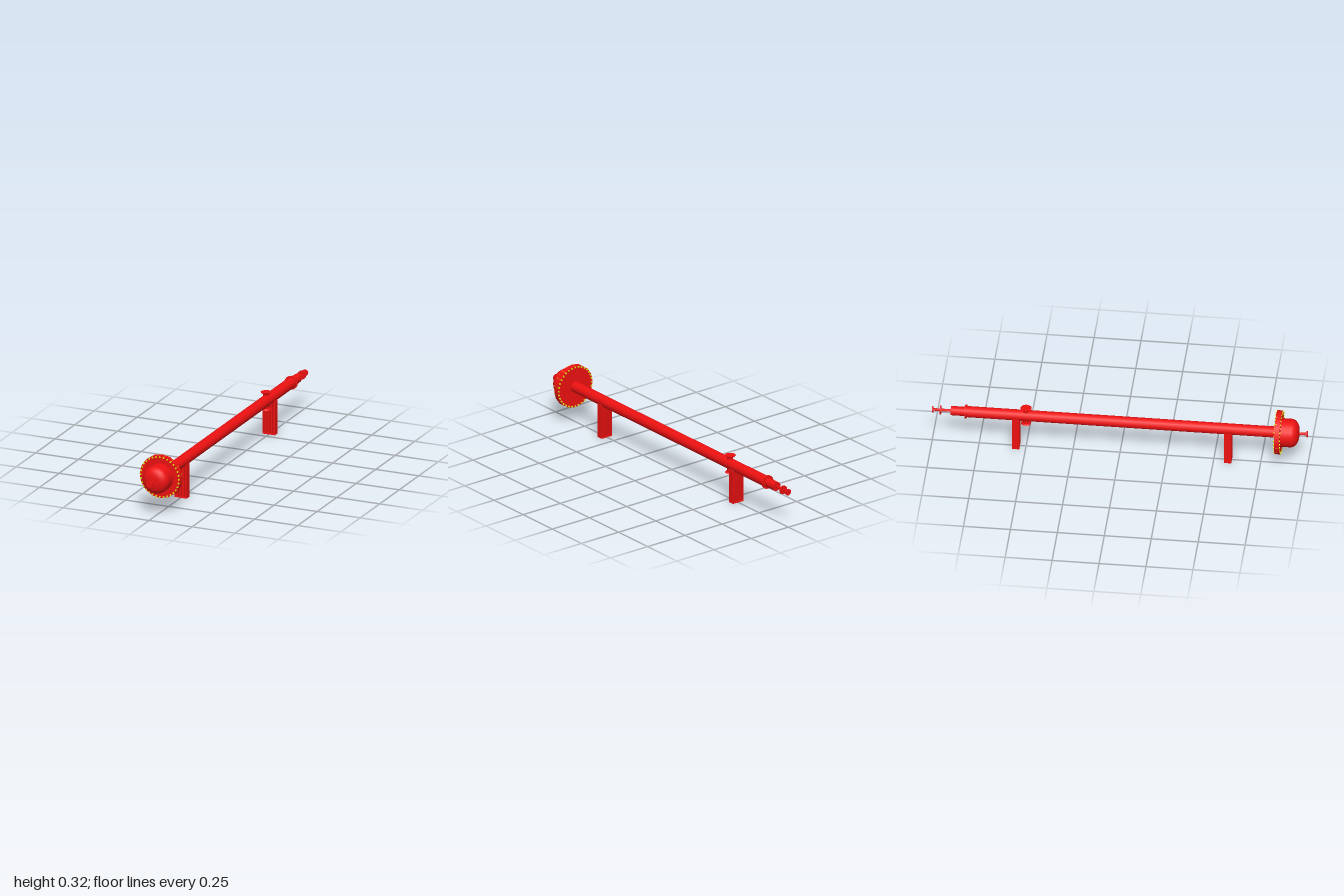
import * as THREE from 'three';

const AXIS_Y = 0.2;
const red = new THREE.MeshStandardMaterial({ color: 0xee1111, side: THREE.DoubleSide });
const yellow = new THREE.MeshStandardMaterial({ color: 0xe0e010 });

function add(parent, name, geometry, material = red) {
  const mesh = new THREE.Mesh(geometry, material);
  mesh.name = name;
  parent.add(mesh);
  return mesh;
}

// Cylinder lying along z, centred on the exchanger axis, from z0 up to z1
function rod(parent, name, z0, z1, radius, sides = 16) {
  const geo = new THREE.CylinderGeometry(radius, radius, z1 - z0, sides);
  geo.rotateX(Math.PI / 2);
  const mesh = add(parent, name, geo);
  mesh.position.set(0, AXIS_Y, (z0 + z1) / 2);
  return mesh;
}

// Upright branch nozzle with a flared neck and thin flange
function branch(name, direction, z, flangeRadius) {
  const group = new THREE.Group();
  group.name = name;
  const neck = add(group, 'neck', new THREE.CylinderGeometry(0.016, 0.016, 0.028, 16));
  neck.position.y = 0.034;
  const flange = add(group, 'flange', new THREE.CylinderGeometry(flangeRadius, flangeRadius * 0.8, 0.006, 16));
  flange.position.y = 0.046;
  group.position.set(0, AXIS_Y, z);
  if (direction < 0) group.rotation.x = Math.PI;
  return group;
}

// Saddle outline: a plate cut to cradle the pipe
function cradleWeb(thickness) {
  const s = new THREE.Shape();
  s.moveTo(-0.034, 0);
  s.lineTo(0.034, 0);
  s.lineTo(0.034, 0.19);
  s.lineTo(0.028, 0.19);
  s.absarc(0, AXIS_Y, 0.03, -0.34, -Math.PI + 0.34, true);
  s.lineTo(-0.034, 0.19);
  const geo = new THREE.ExtrudeGeometry(s, { depth: thickness, bevelEnabled: false, curveSegments: 10 });
  return geo.translate(0, 0, -thickness / 2);
}

function saddle(name, z) {
  const group = new THREE.Group();
  group.name = name;
  add(group, 'web', cradleWeb(0.006));
  add(group, 'basePlate', new THREE.BoxGeometry(0.068, 0.004, 0.038)).position.y = 0.002;
  // Ribs reach up to the underside of the pipe
  for (let i = -2; i <= 2; i++) {
    const x = i * 0.0165;
    const top = Math.abs(i) === 2 ? 0.19 : AXIS_Y - Math.sqrt(0.03 ** 2 - x * x) + 0.002;
    add(group, 'rib', new THREE.BoxGeometry(0.004, top, 0.038)).position.set(x, top / 2, 0);
  }
  group.position.z = z;
  return group;
}

export function createModel() {
  const model = new THREE.Group();
  model.name = 'heatExchanger';

  // Main shell and its stepped rear end
  rod(model, 'shell', -0.82, 0.84, 0.03);
  rod(model, 'rearShellFlange', -0.825, -0.815, 0.037);
  rod(model, 'rearSleeve', -0.9, -0.82, 0.025);
  rod(model, 'rearNeck', -1, -0.9, 0.007, 12);
  rod(model, 'rearCollar', -0.959, -0.952, 0.024);
  rod(model, 'rearNozzleFlange', -1, -0.994, 0.018);

  // Large bolted flange at the front
  rod(model, 'headFlange', 0.832, 0.86, 0.118);
  const bolts = new THREE.Group();
  bolts.name = 'flangeBolts';
  const boltGeo = new THREE.CylinderGeometry(0.005, 0.005, 0.036, 8).rotateX(Math.PI / 2);
  for (let i = 0; i < 32; i++) {
    const a = (i / 32) * Math.PI * 2;
    add(bolts, 'bolt', boltGeo, yellow).position.set(Math.cos(a) * 0.111, Math.sin(a) * 0.111, 0);
  }
  bolts.position.set(0, AXIS_Y, 0.846);
  model.add(bolts);

  // Head: straight skirt closing in a rounded dome
  rod(model, 'headSkirt', 0.855, 0.91, 0.076, 20);
  const domeProfile = [];
  for (let i = 0; i <= 8; i++) {
    const a = (i / 8) * Math.PI / 2;
    domeProfile.push(new THREE.Vector2(0.076 * Math.pow(Math.cos(a), 0.7), 0.045 * Math.sin(a)));
  }
  domeProfile[8].x = 0;
  const dome = add(model, 'headDome', new THREE.LatheGeometry(domeProfile, 20).rotateX(Math.PI / 2));
  dome.position.set(0, AXIS_Y, 0.91);

  // Front nozzle
  rod(model, 'frontNeck', 0.95, 1, 0.007, 12);
  rod(model, 'frontNozzleFlange', 0.994, 1, 0.017);

  // Branch nozzles above and below the shell
  model.add(branch('upperBranch', 1, -0.5, 0.03));
  model.add(branch('lowerBranch', -1, -0.5, 0.027));

  // Supports
  model.add(saddle('frontSaddle', 0.577));
  model.add(saddle('rearSaddle', -0.552));

  return model;
}
